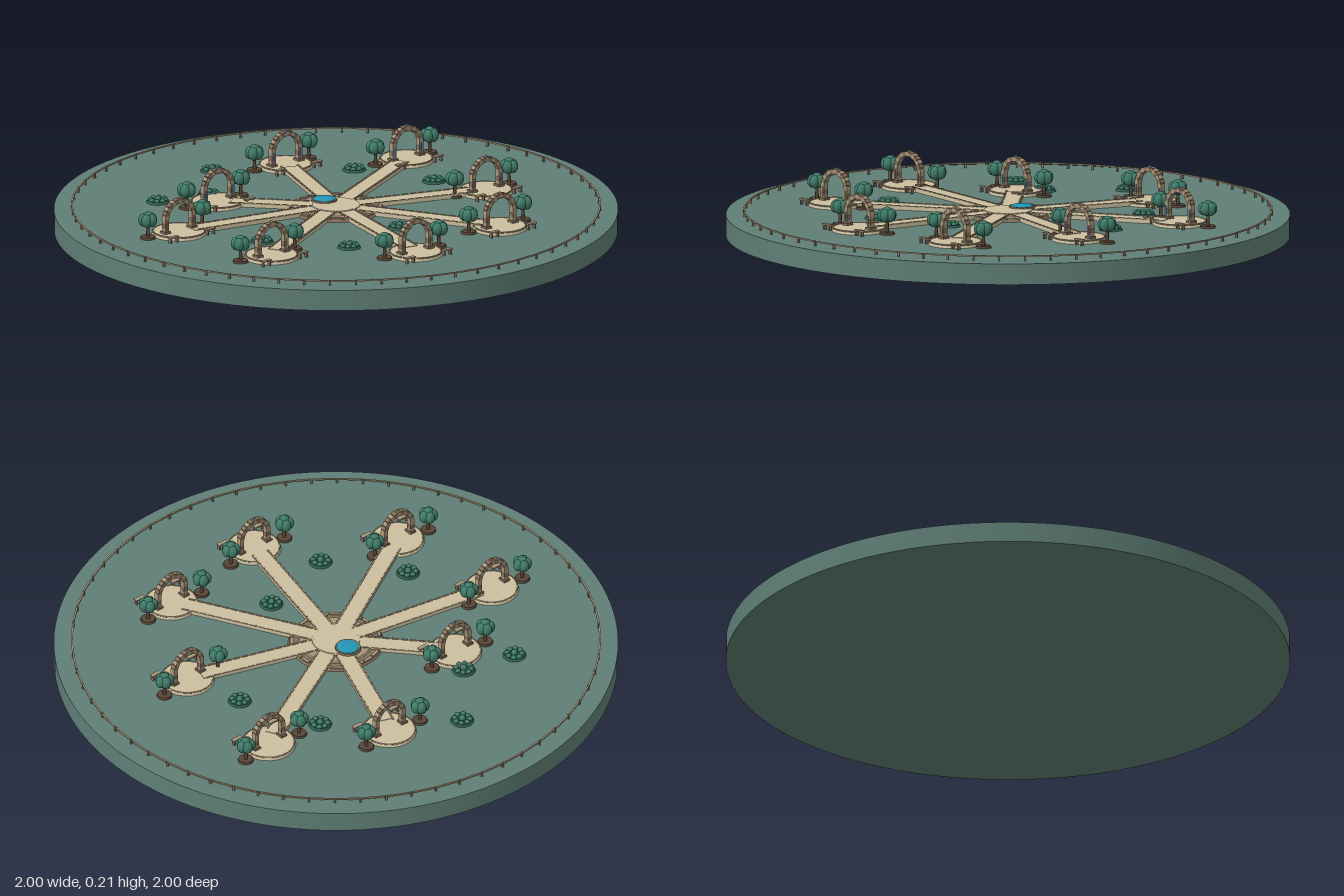
import * as THREE from 'three';

const mat = (color, flat = false) => new THREE.MeshStandardMaterial({ color, flatShading: flat });
const M = {
  island: mat(0x5f7f76), cream: mat(0xcdbf9f), stone: mat(0xa8967a, true), brown: mat(0x86705c, true),
  leaf: mat(0x3f7a68), shrub: mat(0x2f5c50), trunk: mat(0x594536), water: mat(0x2596b4),
};
const GROUND = 0.075;

function add(parent, name, geometry, material, x = 0, y = 0, z = 0) {
  const m = new THREE.Mesh(geometry, material);
  m.name = name;
  m.position.set(x, y, z);
  parent.add(m);
  return m;
}
const group = (parent, name, x = 0, y = 0, z = 0) => {
  const g = new THREE.Group();
  g.name = name;
  g.position.set(x, y, z);
  parent.add(g);
  return g;
};
const cyl = (rt, rb, h, n = 24) => new THREE.CylinderGeometry(rt, rb, h, n);
const box = (w, h, d) => new THREE.BoxGeometry(w, h, d);
const ball = (r) => new THREE.SphereGeometry(r, 12, 8);

// Tree: soil disc, trunk and a crown of rounded lobes
function tree(parent, x, z) {
  const t = group(parent, 'tree', x, 0, z);
  add(t, 'treeSoil', cyl(0.026, 0.028, 0.008, 16), M.trunk, 0, 0.004);
  add(t, 'trunk', cyl(0.005, 0.007, 0.06, 8), M.trunk, 0, 0.03);
  for (let i = 0; i < 5; i++) {
    const a = i * Math.PI * 0.4;
    add(t, 'crownLobe', ball(0.019), M.leaf, 0.016 * Math.cos(a), 0.068, 0.016 * Math.sin(a)).scale.y = 1.25;
  }
  add(t, 'crownTop', ball(0.02), M.leaf, 0, 0.079);
}

// Arch: stacked posts, ring of voussoirs and a coloured keystone gem
function arch(parent, color) {
  const g = group(parent, 'arch');
  const R = 0.06, spring = 0.062;
  for (const s of [-1, 1]) {
    add(g, 'archFoot', box(0.026, 0.012, 0.03), M.brown, s * R, 0.014, 0);
    for (let i = 0; i < 3; i++)
      add(g, 'postBlock', box(0.017, 0.0145, 0.02), i % 2 ? M.brown : M.stone, s * R, 0.026 + i * 0.015, 0);
    add(g, 'postInlay', box(0.005, 0.036, 0.003), mat(color), s * R, 0.042, 0.011);
  }
  const n = 13;
  for (let i = 0; i < n; i++) {
    const a = Math.PI * (i + 0.5) / n;
    const b = add(g, 'archStone', box(0.017, 0.0145, 0.02), i % 2 ? M.brown : M.stone,
      R * Math.cos(a), spring + R * Math.sin(a), 0);
    b.rotation.z = a;
  }
  add(g, 'keystoneGem', new THREE.OctahedronGeometry(0.008), mat(color, true), 0, spring + R + 0.008, 0);
}

// Round court with its arch, two trees and two benches
function court(parent, x, z, color) {
  const c = group(parent, 'court', x, GROUND, z);
  add(c, 'courtFloor', cyl(0.093, 0.097, 0.012, 40), M.cream, 0, 0.006);
  const rim = add(c, 'courtRim', new THREE.TorusGeometry(0.092, 0.003, 6, 40), M.stone, 0, 0.011);
  rim.rotation.x = Math.PI / 2;
  arch(c, color);
  for (const s of [-1, 1]) {
    tree(c, s * 0.122, -0.022);
    add(c, 'benchSeat', box(0.04, 0.005, 0.016), M.stone, s * 0.083, 0.02, 0.075);
    for (const k of [-1, 1])
      add(c, 'benchLeg', box(0.005, 0.018, 0.013), M.brown, s * 0.083 + k * 0.014, 0.009, 0.075);
  }
}

// Path from the centre to a court, edged with small kerb stones
function path(parent, x, z) {
  const len = Math.hypot(x, z) - 0.05;
  const p = group(parent, 'path', 0, GROUND, 0);
  p.rotation.y = Math.atan2(x, z);
  add(p, 'pathSlab', box(0.064, 0.014, len - 0.05), M.cream, 0, 0.007, (len + 0.05) / 2);
  const n = Math.floor((len - 0.08) / 0.032);
  for (let i = 0; i <= n; i++)
    for (const s of [-1, 1])
      add(p, 'kerbStone', box(0.006, 0.004, 0.024), M.stone, s * 0.031, 0.015, 0.08 + i * 0.032);
}

// Planting bed: low mound ringed by small bushes
function bed(parent, x, z) {
  const b = group(parent, 'plantingBed', x, GROUND, z);
  add(b, 'bedSoil', cyl(0.037, 0.042, 0.008, 20), M.shrub, 0, 0.004);
  for (let i = 0; i < 8; i++) {
    const a = i * Math.PI / 4;
    add(b, 'bush', ball(0.01), M.leaf, 0.027 * Math.cos(a), 0.01, 0.027 * Math.sin(a)).scale.y = 0.8;
  }
  add(b, 'bushCentre', ball(0.012), M.leaf, 0, 0.011);
}

// Central plaza with stone ring and pool
function plaza(parent) {
  const p = group(parent, 'plaza', 0, GROUND, 0);
  add(p, 'plazaStep', cyl(0.165, 0.17, 0.008, 48), M.brown, 0, 0.004);
  add(p, 'plazaUpperStep', cyl(0.13, 0.135, 0.006, 48), M.stone, 0, 0.01);
  add(p, 'plazaCentre', cyl(0.085, 0.09, 0.017, 48), M.cream, 0, 0.0085);
  for (let i = 0; i < 24; i++) {
    const a = (i + 0.5) * Math.PI / 12;
    const s = add(p, 'ringStone', box(0.036, 0.005, 0.012), M.stone, 0.157 * Math.sin(a), 0.009, 0.157 * Math.cos(a));
    s.rotation.y = a;
  }
  const pool = group(p, 'pool', 0, 0.014, -0.067);
  add(pool, 'poolBasin', cyl(0.045, 0.047, 0.01, 32), M.brown, 0, 0.003);
  add(pool, 'poolWater', new THREE.SphereGeometry(0.04, 24, 8, 0, Math.PI * 2, 0, Math.PI / 2), M.water, 0, 0.008)
    .scale.y = 0.15;
}

// Rim fence of rails and posts
function fence(parent) {
  const f = group(parent, 'fence', 0, GROUND, 0);
  const n = 64, r = 0.935;
  for (let i = 0; i < n; i++) {
    const a = i * 2 * Math.PI / n, b = a + Math.PI / n;
    add(f, 'fencePost', box(0.007, 0.018, 0.007), M.brown, r * Math.sin(a), 0.009, r * Math.cos(a)).rotation.y = a;
    add(f, 'fenceRail', box(0.082, 0.005, 0.006), M.stone, r * Math.sin(b), 0.016, r * Math.cos(b)).rotation.y = b;
  }
}

export function createModel() {
  const model = new THREE.Group();
  model.name = 'parkIsland';
  add(model, 'island', cyl(1, 1, GROUND, 128), M.island, 0, GROUND / 2);
  plaza(model);
  fence(model);
  const courts = [
    [0.18, -0.52, 0x8a6fc0], [0.56, -0.31, 0x4f7fc0], [0.545, 0.165, 0x9a6fb0], [0.31, 0.545, 0xb08a50],
    [-0.12, 0.61, 0x6f8f60], [-0.545, 0.325, 0xb0a060], [-0.625, -0.105, 0xb06a5a], [-0.29, -0.31, 0x4a90b8],
  ];
  for (const [x, z, color] of courts) {
    path(model, x, z);
    court(model, x, z, color);
  }
  const beds = [[-0.06, -0.635], [-0.445, -0.455], [-0.25, -0.41], [0.345, -0.335],
    [0.48, -0.05], [0.035, 0.32], [-0.255, 0.4], [-0.455, 0.155]];
  for (const [x, z] of beds) bed(model, x, z);
  return model;
}
